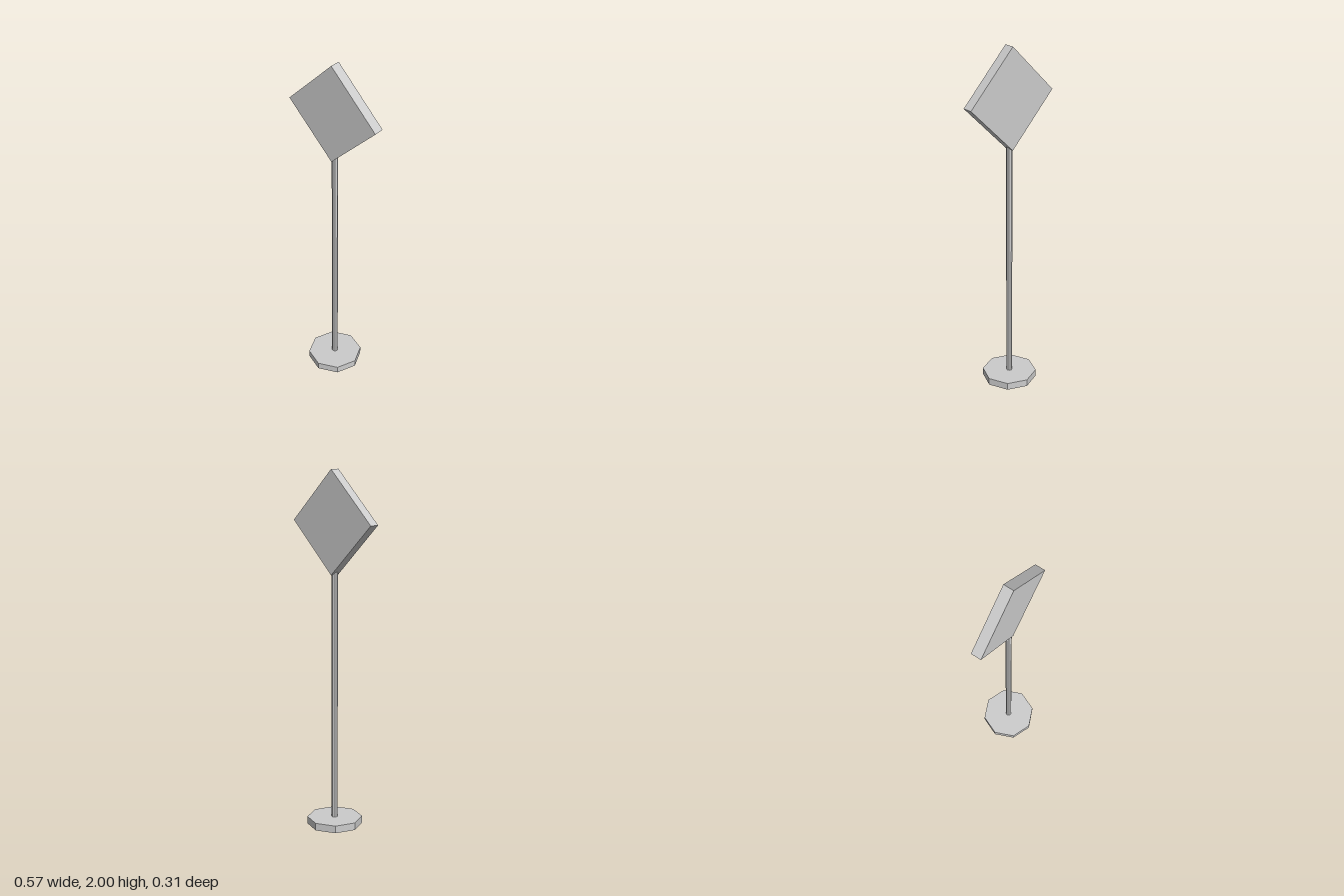
import * as THREE from 'three';

export function createModel() {
  const group = new THREE.Group();
  const material = new THREE.MeshStandardMaterial({ color: 0xcccccc, flatShading: true });

  function addPart(name, geometry, y) {
    const mesh = new THREE.Mesh(geometry, material);
    mesh.name = name;
    mesh.position.y = y;
    group.add(mesh);
    return mesh;
  }

  // Octagonal foot with corners on the axes
  const baseHeight = 0.042;
  const baseRadius = 0.156;
  addPart('base', new THREE.CylinderGeometry(baseRadius, baseRadius, baseHeight, 8), baseHeight / 2);

  // Thin eight-sided post, its top sunk into the sign's lower corner
  const poleTop = 1.46;
  const poleRadius = 0.017;
  const poleLength = poleTop - baseHeight;
  addPart('pole', new THREE.CylinderGeometry(poleRadius, poleRadius, poleLength, 8), baseHeight + poleLength / 2);

  // Square sign plate standing on one corner
  const halfDiagonal = 0.284;
  const side = halfDiagonal * Math.SQRT2;
  const sign = addPart('signPlate', new THREE.BoxGeometry(side, side, 0.058), 2 - halfDiagonal);
  sign.rotation.z = Math.PI / 4;

  return group;
}
